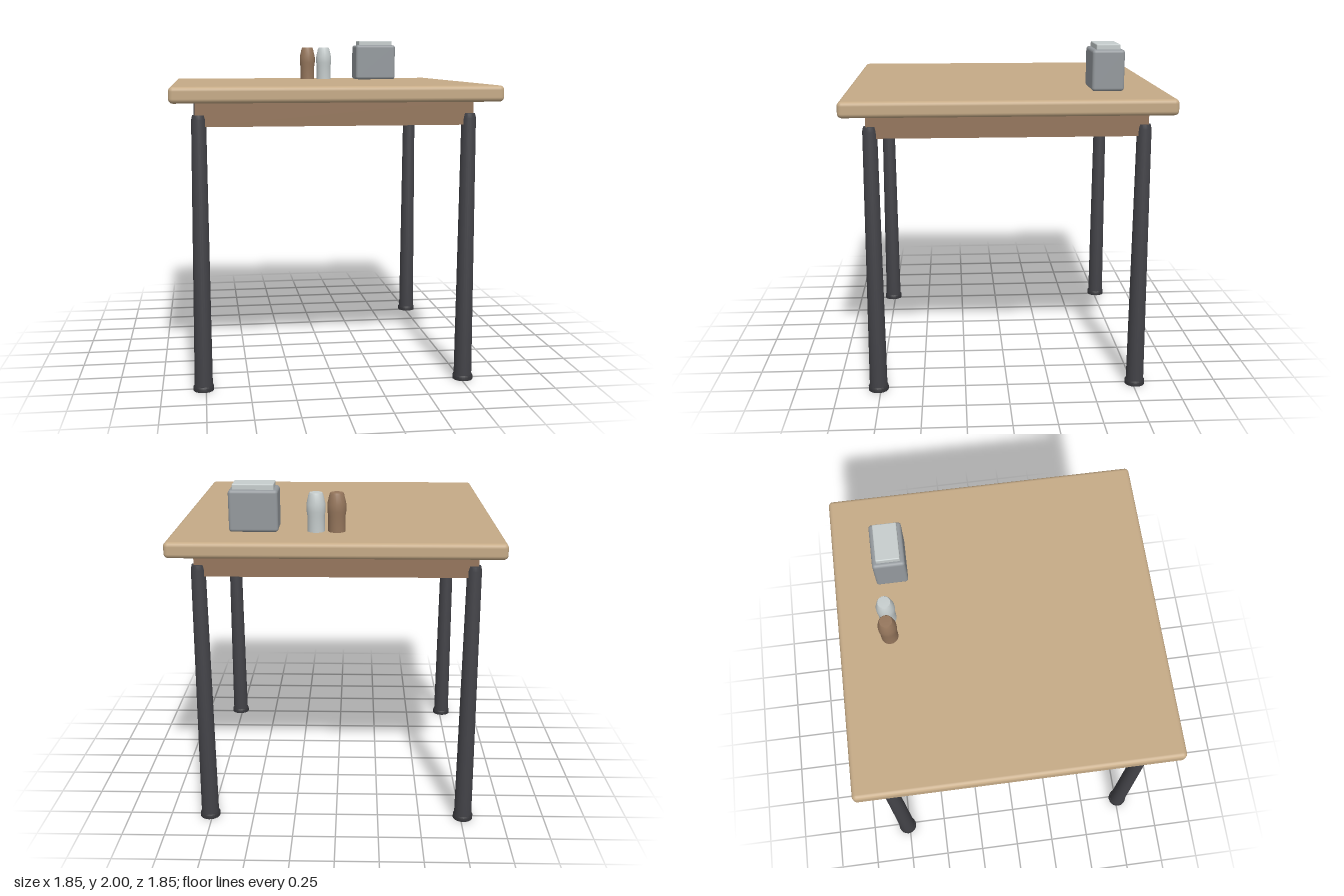
import * as THREE from 'three';
import { RoundedBoxGeometry } from 'three/addons/geometries/RoundedBoxGeometry.js';
import { toCreasedNormals } from 'three/addons/utils/BufferGeometryUtils.js';

function material(name, color) {
  const m = new THREE.MeshStandardMaterial({ color });
  m.name = name;
  return m;
}

export function createModel() {
  const wood = material('light wood', 0xc5aa86);
  const brown = material('brown wood', 0x95765c);
  const metal = material('dark metal', 0x424247);
  const rubber = material('foot rubber', 0x343438);
  const grey = material('grey metal', 0x94999d);
  const pale = material('pale metal', 0xc6cdcd);

  const root = new THREE.Group();
  root.name = 'table';

  const add = (parent, name, geometry, mat, x, y, z) => {
    const mesh = new THREE.Mesh(geometry, mat);
    mesh.name = name;
    mesh.position.set(x, y, z);
    parent.add(mesh);
    return mesh;
  };
  const lathe = (points, sides) => toCreasedNormals(
    new THREE.LatheGeometry(points.map(([r, y]) => new THREE.Vector2(r, y)), sides), 0.6);

  // Top board and the block beneath it
  add(root, 'tabletop', new RoundedBoxGeometry(1.845, 0.09, 1.845, 3, 0.025), wood, 0, 1.69, 0);
  add(root, 'apron', new THREE.BoxGeometry(1.57, 0.14, 1.57), brown, 0, 1.58, 0);

  // Four tapered legs with feet
  const legShape = lathe([[0, 0.02], [0.052, 0.02], [0.041, 1.55], [0.035, 1.575], [0, 1.575]], 20);
  const footShape = lathe([[0, 0], [0.059, 0], [0.059, 0.022], [0.054, 0.03], [0, 0.03]], 20);
  for (const sx of [-1, 1]) {
    for (const sz of [-1, 1]) {
      const leg = new THREE.Group();
      leg.name = (sz > 0 ? 'front' : 'back') + (sx > 0 ? 'Left' : 'Right') + 'Leg';
      leg.position.set(sx * 0.764, 0, sz * 0.764);
      add(leg, 'legTube', legShape, metal, 0, 0, 0);
      add(leg, 'foot', footShape, rubber, 0, 0, 0);
      root.add(leg);
    }
  }

  // Salt and pepper shakers
  const shakerShape = lathe([[0, 0], [0.049, 0], [0.049, 0.09], [0.053, 0.115], [0.053, 0.155],
    [0.041, 0.208], [0.036, 0.218], [0, 0.22]], 20);
  add(root, 'pepperShaker', shakerShape, brown, -0.002, 1.735, -0.63);
  add(root, 'saltShaker', shakerShape, pale, 0.114, 1.735, -0.63);

  // Napkin box with a raised insert
  add(root, 'napkinBox', new RoundedBoxGeometry(0.276, 0.235, 0.186, 3, 0.018), grey, 0.461, 1.8525, -0.583);
  add(root, 'napkinStack', new RoundedBoxGeometry(0.232, 0.05, 0.138, 2, 0.006), pale, 0.462, 1.975, -0.583);

  return root;
}
